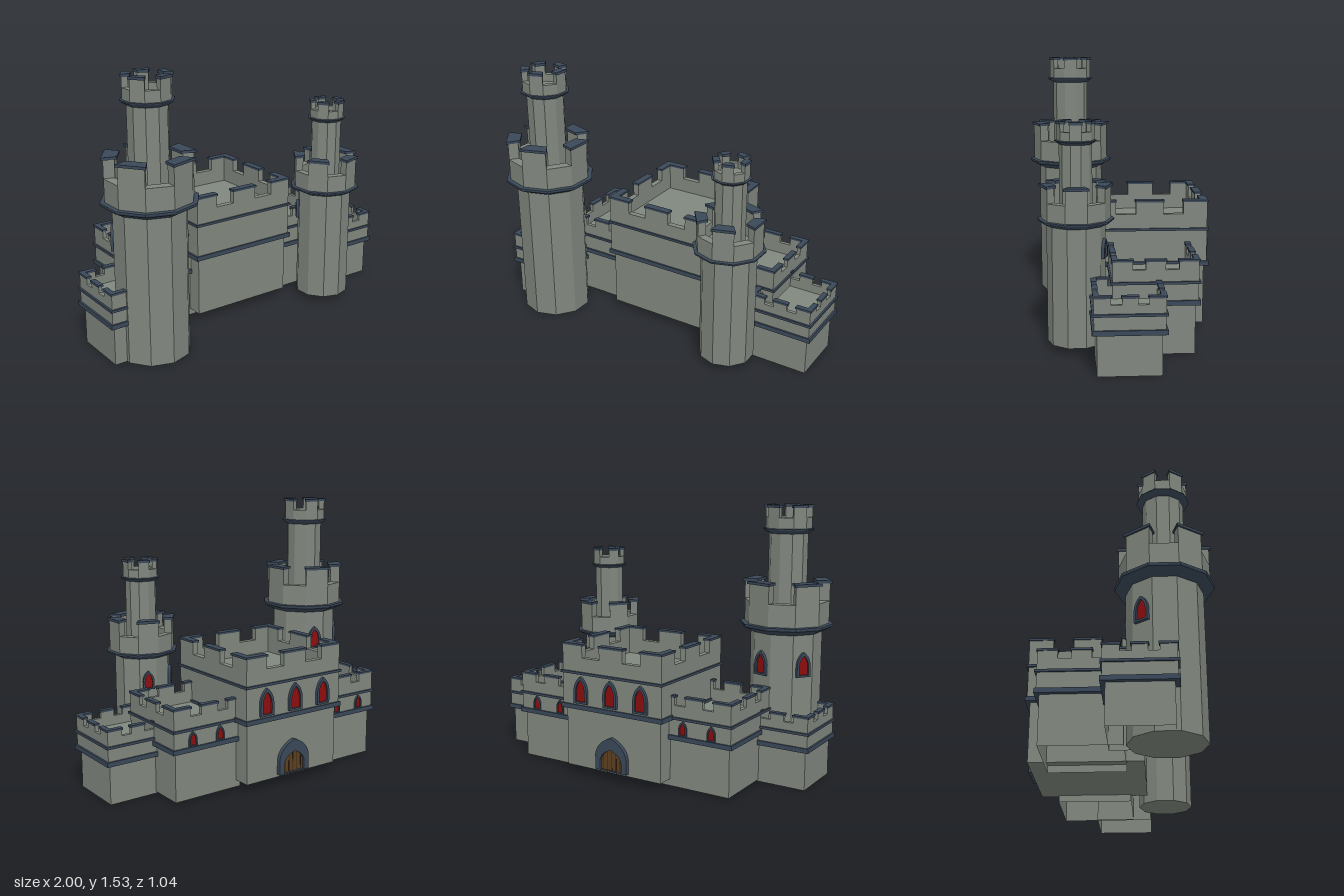
import * as THREE from 'three';

const mat = (color, extra = {}) => new THREE.MeshStandardMaterial({ color, ...extra });
const stone = mat(0x80877e, { flatShading: true, side: THREE.DoubleSide });
const trim = mat(0x3a4859, { flatShading: true });
const glass = mat(0x8c0d0d);
const wood = mat(0x5c4020);
const gapDark = mat(0x2e2010);

function add(parent, name, geometry, material, x = 0, y = 0, z = 0) {
  const mesh = new THREE.Mesh(geometry, material);
  mesh.name = name;
  mesh.position.set(x, y, z);
  parent.add(mesh);
  return mesh;
}

function group(parent, name, x = 0, y = 0, z = 0) {
  const g = new THREE.Group();
  g.name = name;
  g.position.set(x, y, z);
  parent.add(g);
  return g;
}

// Box standing between two heights, optionally without its underside
function box(parent, name, material, x, z, w, d, y0, y1, openBottom = false) {
  const geo = new THREE.BoxGeometry(w, y1 - y0, d);
  if (openBottom) {
    const index = Array.from(geo.index.array);
    index.splice(18, 6);
    geo.setIndex(index);
    geo.clearGroups();
  }
  return add(parent, name, geo, material, x, (y0 + y1) / 2, z);
}

// Rectangular frame lying flat
function frame(parent, name, material, w, d, t, y0, y1) {
  for (const s of [-1, 1]) {
    box(parent, name, material, 0, s * (d - t) / 2, w, t, y0, y1);
    box(parent, name, material, s * (w - t) / 2, 0, t, d - 2 * t, y0, y1);
  }
}

// Square building: base, overhanging storey, two trim bands, battlements
function building(parent, name, o) {
  const g = group(parent, name, o.x, 0, o.z);
  const { w, d, t } = o;
  const uw = w - 0.02, ud = d - 0.02;
  box(g, 'baseWall', stone, 0, 0, w - 0.05, d - 0.05, o.y0, o.band, o.open);
  frame(g, 'lowerBand', trim, w, d, 0.04, o.band - 0.012, o.band + 0.014);
  box(g, 'upperWall', stone, 0, 0, uw, ud, o.band, o.roof);
  frame(g, 'upperBand', trim, w, d, 0.02, o.roof - 0.007, o.roof + 0.007);
  frame(g, 'parapet', stone, uw, ud, t, o.roof, o.parapet);

  const merlon = (x, z, mw, md) => {
    box(g, 'merlon', stone, x, z, mw, md, o.parapet, o.top - 0.01);
    box(g, 'merlonCap', trim, x, z, mw + 0.01, md + 0.01, o.top - 0.012, o.top);
  };
  for (const s of [-1, 1]) {
    merlon(0, s * (ud - t) / 2, o.mid, t);
    merlon(s * (uw - t) / 2, 0, t, o.mid);
    for (const q of [-1, 1]) {
      merlon(s * (uw - o.corner) / 2, q * (ud - t) / 2, o.corner, t);
      merlon(s * (uw - t) / 2, q * (ud - o.corner - t) / 2, t, o.corner - t);
    }
  }
  return g;
}

const SIDES = 10;
const lathe = (pts) => new THREE.LatheGeometry(pts.map(p => new THREE.Vector2(...p)), SIDES);

// Wedge covering one side of the ten-sided ring, standing on y = 0
function wedge(rIn, rOut, side, h, pad = 0) {
  const a0 = side * Math.PI * 2 / SIDES - pad, a1 = (side + 1) * Math.PI * 2 / SIDES + pad;
  const p = (r, a) => new THREE.Vector2(r * Math.sin(a), -r * Math.cos(a));
  const shape = new THREE.Shape([p(rIn, a0), p(rOut, a0), p(rOut, a1), p(rIn, a1)]);
  return new THREE.ExtrudeGeometry(shape, { depth: h, bevelEnabled: false }).rotateX(-Math.PI / 2);
}

// One tower storey: shaft, flared collar and battlemented top
function storey(parent, name, o) {
  const g = group(parent, name);
  const flare = o.rim - o.r, h = o.deck - o.neck;
  add(g, 'shaft', lathe([[0, o.y0], [o.r, o.y0], [o.r, o.deck]]), stone);
  add(g, 'collar', lathe([
    [o.r, o.neck], [o.r + flare * 0.35, o.neck + h * 0.25], [o.rim - 0.004, o.neck + h * 0.65],
    [o.rim, o.deck - h * 0.15], [o.rim, o.deck], [o.out, o.deck + 0.002],
  ]), trim);
  add(g, 'battlementWall', lathe([
    [o.out, o.deck - 0.005], [o.out, o.parapet], [o.inn, o.parapet], [o.inn, o.deck + 0.02], [0, o.deck + 0.02],
  ]), stone);
  for (let side = 0; side < SIDES; side += 2) {
    add(g, 'merlon', wedge(o.inn, o.out, side, o.top - o.parapet - 0.01), stone, 0, o.parapet, 0);
    add(g, 'merlonCap', wedge(o.inn - o.pad, o.out + o.pad, side, 0.015, 0.03), trim, 0, o.top - 0.014, 0);
  }
}

// Pointed arch outline
function arch(Type, w, h, y = 0) {
  const s = new Type(), a = w / 2, k = y + h * 0.45;
  s.moveTo(-a, y);
  s.lineTo(a, y);
  s.lineTo(a, k);
  s.quadraticCurveTo(a * 0.9, y + h * 0.82, 0, y + h);
  s.quadraticCurveTo(-a * 0.9, y + h * 0.82, -a, k);
  s.closePath();
  return s;
}

const solid = (shape, depth) => new THREE.ExtrudeGeometry(shape, { depth, bevelEnabled: false, curveSegments: 6 });

// Framed arched opening, facing the given direction around y
function opening(parent, name, x, y, z, angle, w, h, depth, fill = glass) {
  const g = group(parent, name, x, y, z);
  g.rotation.y = angle;
  const b = w * 0.16;
  const outer = arch(THREE.Shape, w, h);
  outer.holes.push(arch(THREE.Path, w - 2 * b, h - 2.2 * b, b * (fill === wood ? 0.1 : 0.8)));
  add(g, 'archFrame', solid(outer, depth), trim);
  add(g, 'panel', solid(arch(THREE.Shape, w - b, h - b, 0.002), depth * 0.45), fill);
  return g;
}

export function createModel() {
  const castle = new THREE.Group();
  castle.name = 'castle';

  // Central keep
  building(castle, 'keep', {
    x: -0.015, z: -0.18, w: 0.68, d: 0.67, t: 0.035, y0: 0.05, band: 0.405, roof: 0.603,
    parapet: 0.69, top: 0.77, mid: 0.155, corner: 0.135,
  });
  for (const x of [-0.215, -0.015, 0.185]) {
    opening(castle, 'keepWindow', x, 0.43, -0.504, Math.PI, 0.09, 0.155, 0.018);
  }

  // Door with planks
  const door = opening(castle, 'door', -0.015, 0.065, -0.488, Math.PI, 0.21, 0.195, 0.025, wood);
  for (let i = -2; i <= 2; i++) {
    box(door, 'plankGap', gapDark, i * 0.028, 0.0115, 0.004, 0.002, 0.004, 0.155 - Math.abs(i) * 0.022);
  }

  // Side wings and lower end blocks
  for (const s of [-1, 1]) {
    building(castle, 'wing', {
      x: s * 0.485, z: -0.177, w: 0.47, d: 0.474, t: 0.022, y0: 0.01, band: 0.295, roof: 0.405,
      parapet: 0.475, top: 0.53, mid: 0.105, corner: 0.105, open: true,
    });
    for (const x of [0.42, 0.595]) {
      opening(castle, 'wingWindow', s * x, 0.312, -0.403, Math.PI, 0.05, 0.082, 0.012);
    }
    building(castle, 'endBlock', {
      x: s * 0.808, z: s < 0 ? 0.125 : -0.022, w: 0.382, d: 0.38, t: 0.02, y0: 0, band: 0.232, roof: 0.323,
      parapet: 0.375, top: 0.42, mid: 0.08, corner: 0.085, open: true,
    });
  }

  // Towers, each with a slimmer turret on top
  const tall = group(castle, 'tallTower', -0.71, 0, 0.25);
  storey(tall, 'mainStorey', {
    r: 0.203, y0: 0, neck: 0.825, deck: 0.872, rim: 0.265, out: 0.24, inn: 0.18,
    parapet: 1.0, top: 1.112, pad: 0.012,
  });
  storey(tall, 'turret', {
    r: 0.11, y0: 0.88, neck: 1.375, deck: 1.402, rim: 0.143, out: 0.13, inn: 0.095,
    parapet: 1.465, top: 1.532, pad: 0.008,
  });
  const short = group(castle, 'shortTower', 0.52, 0, 0.235);
  storey(short, 'mainStorey', {
    r: 0.158, y0: 0.04, neck: 0.685, deck: 0.717, rim: 0.206, out: 0.187, inn: 0.14,
    parapet: 0.815, top: 0.905, pad: 0.01,
  });
  storey(short, 'turret', {
    r: 0.088, y0: 0.725, neck: 1.115, deck: 1.135, rim: 0.112, out: 0.1, inn: 0.072,
    parapet: 1.183, top: 1.236, pad: 0.006,
  });

  // Tower windows on two of the rear faces
  for (const [tower, r, y, w, h] of [[tall, 0.203, 0.59, 0.085, 0.14], [short, 0.158, 0.51, 0.065, 0.105]]) {
    for (const deg of [162, 234]) {
      const a = THREE.MathUtils.degToRad(deg), q = r * Math.cos(Math.PI / SIDES) - 0.003;
      opening(tower, 'towerWindow', q * Math.sin(a), y, q * Math.cos(a), a, w, h, 0.02);
    }
  }
  return castle;
}
